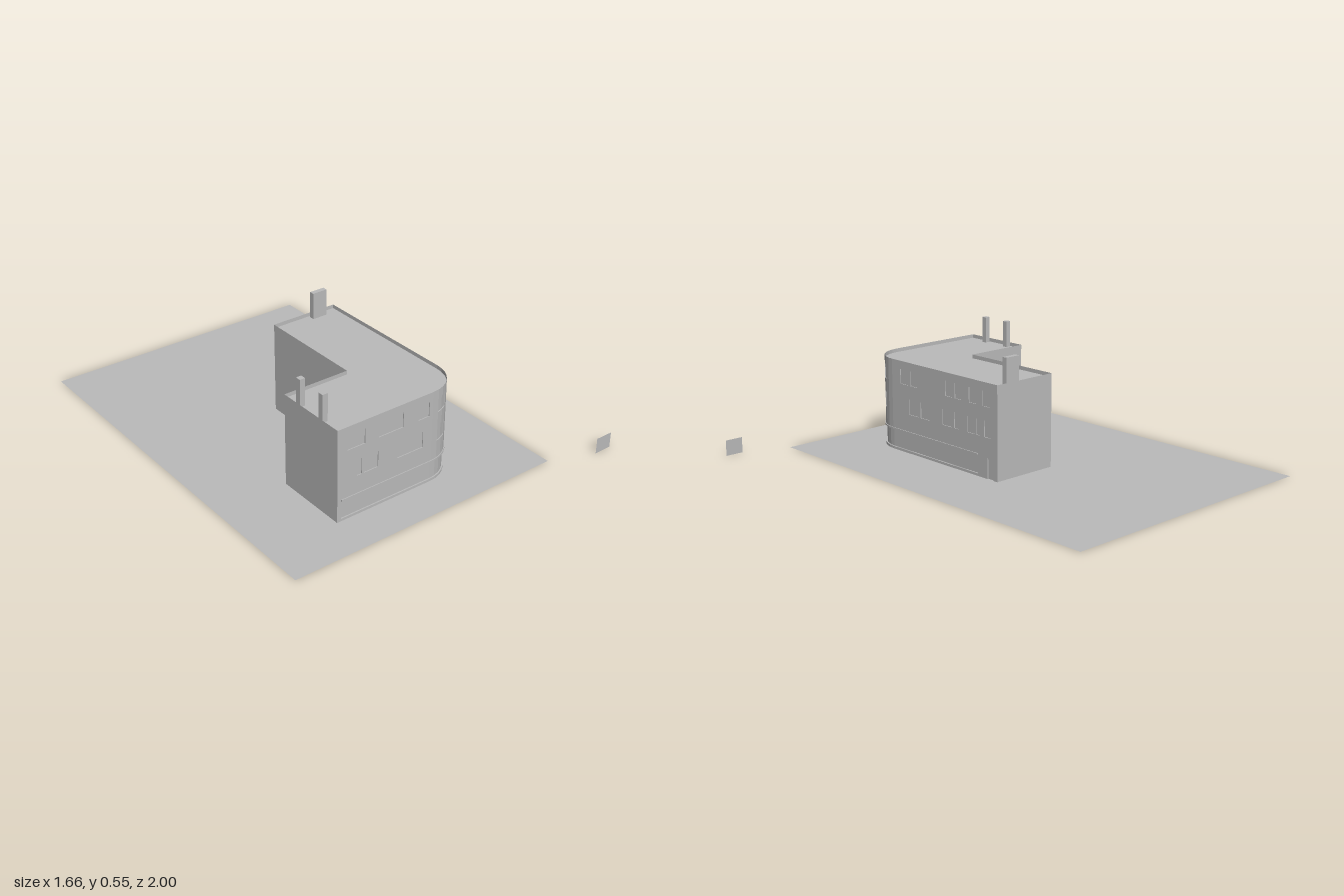
import * as THREE from 'three';

const concrete = new THREE.MeshStandardMaterial({ color: 0xbbbbbb, side: THREE.DoubleSide, flatShading: true });
concrete.name = 'concrete';

const L = -0.48, R = 0.18, F = 0.72, B = -0.165, RAD = 0.16, H = 0.44, ROOF = 0.422;
const FRONT = R - RAD - L, ARC = RAD * Math.PI / 2, TOTAL = FRONT + ARC + (F - RAD - B);
const ARC_STEPS = 8;

// Point on the street facade: s runs along the front, round the corner and down the side
function facade(s, y, out = 0) {
  if (s <= FRONT) return [L + s, y, F + out];
  if (s < FRONT + ARC) {
    const a = (s - FRONT) / RAD, r = RAD + out;
    return [R - RAD + r * Math.sin(a), y, F - RAD + r * Math.cos(a)];
  }
  return [R + out, y, F - RAD - (s - FRONT - ARC)];
}

function surface(quads) {
  const pos = [];
  for (const [a, b, c, d] of quads) pos.push(...a, ...b, ...c, ...a, ...c, ...d);
  const g = new THREE.BufferGeometry();
  g.setAttribute('position', new THREE.Float32BufferAttribute(pos, 3));
  g.computeVertexNormals();
  return g;
}

export function createModel() {
  const model = new THREE.Group();
  model.name = 'cornerBuilding';
  const add = (name, geometry, x = 0, y = 0, z = 0) => {
    const m = new THREE.Mesh(geometry, concrete);
    m.name = name;
    m.position.set(x, y, z);
    model.add(m);
  };

  // Recesses and ledges on the facade: [s0, s1, y0, y1, offset]
  const arcS = i => FRONT + ARC * i / ARC_STEPS;
  const side = z => FRONT + ARC + F - RAD - z;
  const reliefs = [
    [0.02, side(-0.04), 0.012, 0.098, -0.006],
    [side(-0.1), side(-0.14), 0, 0.098, -0.006],
    [0.02, side(-0.04), 0.098, 0.106, 0.004]
  ];
  const addRow = (y0, y1, spans) => spans.forEach(([a, b]) => reliefs.push([a, b, y0, y1, -0.004]));
  const corner = [[arcS(1), arcS(3)], [arcS(4), arcS(6)]];
  addRow(0.19, 0.265, [[0.1, 0.125], [0.135, 0.21], [0.31, 0.45], ...corner,
    [side(0.44), side(0.37)], [side(0.355), side(0.29)], [side(0.2), side(0.135)],
    [side(0.12), side(0.09)], [side(0.03), side(-0.016)], [side(-0.03), side(-0.05)], [side(-0.08), side(-0.12)]]);
  addRow(0.33, 0.4, [[0.05, 0.14], [0.21, 0.34], [0.42, 0.48], ...corner,
    [side(0.5), side(0.44)], [side(0.425), side(0.38)], [side(0.18), side(0.13)],
    [side(0.115), side(0.07)], [side(0.02), side(-0.03)], [side(-0.07), side(-0.12)]]);

  const steps = values => [...new Set(values.map(v => +v.toFixed(5)))].sort((a, b) => a - b);
  const ss = steps([0, TOTAL, ...Array.from({ length: ARC_STEPS + 1 }, (_, i) => arcS(i)), ...reliefs.flatMap(r => [r[0], r[1]])]);
  const ys = steps([0, H, ...reliefs.flatMap(r => [r[2], r[3]])]);
  const offset = (i, j) => {
    const s = (ss[i] + ss[i + 1]) / 2, y = (ys[j] + ys[j + 1]) / 2;
    const hit = reliefs.find(r => s > r[0] && s < r[1] && y > r[2] && y < r[3]);
    return hit ? hit[4] : 0;
  };

  // Street facade, with the reveals between neighbouring depths
  const quads = [];
  for (let i = 0; i < ss.length - 1; i++) {
    for (let j = 0; j < ys.length - 1; j++) {
      const [s0, s1, y0, y1] = [ss[i], ss[i + 1], ys[j], ys[j + 1]], o = offset(i, j);
      quads.push([facade(s0, y0, o), facade(s1, y0, o), facade(s1, y1, o), facade(s0, y1, o)]);
      if (i < ss.length - 2) {
        const n = offset(i + 1, j);
        if (n !== o) quads.push([facade(s1, y0, o), facade(s1, y0, n), facade(s1, y1, n), facade(s1, y1, o)]);
      }
      if (j < ys.length - 2) {
        const n = offset(i, j + 1);
        if (n !== o) quads.push([facade(s0, y1, o), facade(s1, y1, o), facade(s1, y1, n), facade(s0, y1, n)]);
      }
    }
  }
  add('streetFacade', surface(quads));

  // Plain walls at the back of the L-shaped plan
  const back = [[R, B], [-0.155, B], [-0.155, 0.365], [L, 0.365], [L, F]];
  add('backWalls', surface(back.slice(1).map(([x, z], i) => {
    const [px, pz] = back[i];
    return [[px, 0, pz], [x, 0, z], [x, H, z], [px, H, pz]];
  })));

  // Roof, slightly below the parapet
  const plan = [...Array.from({ length: ARC_STEPS + 1 }, (_, i) => {
    const p = facade(arcS(i), 0);
    return [p[0], p[2]];
  }), ...back];
  const shape = new THREE.Shape(plan.map(([x, z]) => new THREE.Vector2(x, -z)));
  add('roof', new THREE.ShapeGeometry(shape).rotateX(-Math.PI / 2), 0, ROOF, 0);

  // Chimneys
  const chimney = (name, x, z, w, d) =>
    add(name, new THREE.BoxGeometry(w, 0.55 - ROOF, d), x, (0.55 + ROOF) / 2, z);
  chimney('frontChimney', -0.46, 0.6, 0.026, 0.026);
  chimney('middleChimney', -0.46, 0.45, 0.026, 0.026);
  chimney('rearChimney', 0.077, -0.142, 0.075, 0.024);

  // Ground plane and the separate small upright panel
  add('ground', new THREE.PlaneGeometry(1.365, 1.915).rotateX(-Math.PI / 2), -0.1505, 0, -0.0425);
  add('streetPanel', new THREE.PlaneGeometry(0.088, 0.075), 0.788, 0.0375, 1);

  return model;
}
